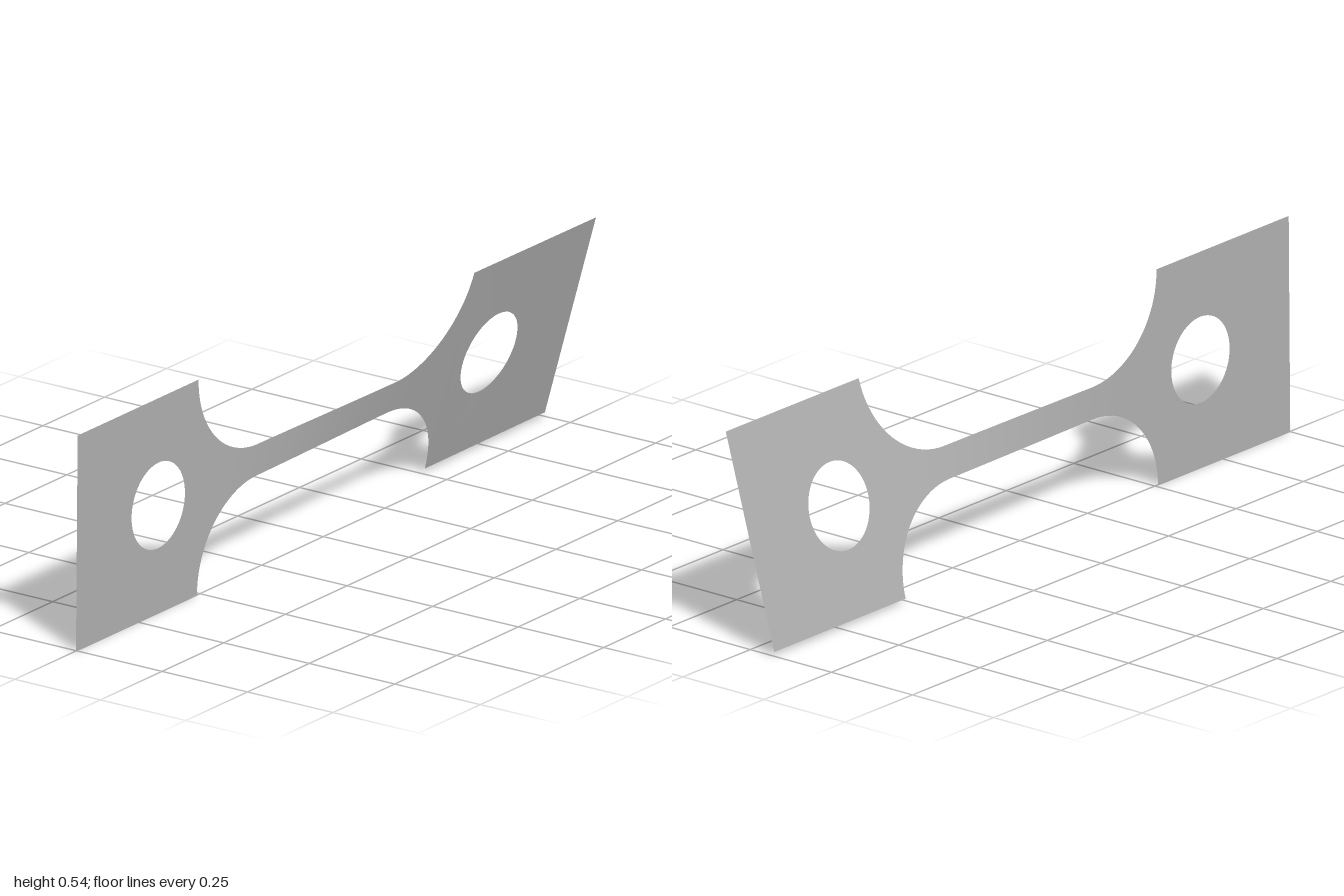
import * as THREE from 'three';

const MID_Y = 0.272, TAB_HALF = 0.271, NECK_HALF = 0.04;
const TAB_IN = 0.51, NECK_END = 0.27, HOLE_X = 0.67, HOLE_R = 0.108;

// Rotate each cross-section about the long axis, growing from left to right
function twist(geometry) {
  const p = geometry.attributes.position;
  for (let i = 0; i < p.count; i++) {
    const x = p.getX(i), dy = p.getY(i);
    const deg = 0.5 + 15 * THREE.MathUtils.smoothstep(x, -0.45, 0.45) + Math.max(0, x - TAB_IN);
    const a = THREE.MathUtils.degToRad(deg);
    p.setXYZ(i, x, MID_Y + dy * Math.cos(a), dy * Math.sin(a) + 0.001);
  }
  geometry.computeVertexNormals();
  return geometry;
}

// Square grip tab with a round hole
function tabGeometry(side) {
  const x0 = Math.min(side * TAB_IN, side), x1 = Math.max(side * TAB_IN, side);
  const shape = new THREE.Shape([
    new THREE.Vector2(x0, -TAB_HALF), new THREE.Vector2(x1, -TAB_HALF),
    new THREE.Vector2(x1, TAB_HALF), new THREE.Vector2(x0, TAB_HALF),
  ]);
  const hole = new THREE.Path();
  hole.absarc(side * HOLE_X, 0, HOLE_R, 0, Math.PI * 2, true);
  shape.holes.push(hole);
  return twist(new THREE.ShapeGeometry(shape, 32));
}

// Narrow neck with rounded shoulders, as columns of [x, half height]
function neckGeometry() {
  const right = [];
  for (let i = 0; i <= 20; i++) {
    const a = (i / 20) * Math.PI / 2;
    right.push([
      NECK_END + (TAB_IN - NECK_END) * Math.sin(a),
      TAB_HALF - (TAB_HALF - NECK_HALF) * Math.cos(a),
    ]);
  }
  const columns = right.map(([x, h]) => [-x, h]).reverse();
  for (let i = 1; i < 24; i++) columns.push([NECK_END * (i / 12 - 1), NECK_HALF]);
  columns.push(...right);

  const rows = 4;
  const g = new THREE.PlaneGeometry(1, 1, columns.length - 1, rows);
  const p = g.attributes.position;
  for (let r = 0; r <= rows; r++) {
    columns.forEach(([x, h], c) => p.setXY(r * columns.length + c, x, h * (1 - 2 * r / rows)));
  }
  return twist(g);
}

export function createModel() {
  const metal = new THREE.MeshStandardMaterial({ color: 0xb0b0b0, side: THREE.DoubleSide });
  metal.name = 'grey metal';
  const group = new THREE.Group();
  group.name = 'twistedSheetSpecimen';
  const add = (name, geometry) => {
    const mesh = new THREE.Mesh(geometry, metal);
    mesh.name = name;
    group.add(mesh);
  };
  add('rightTab', tabGeometry(-1));
  add('leftTab', tabGeometry(1));
  add('neck', neckGeometry());
  return group;
}
